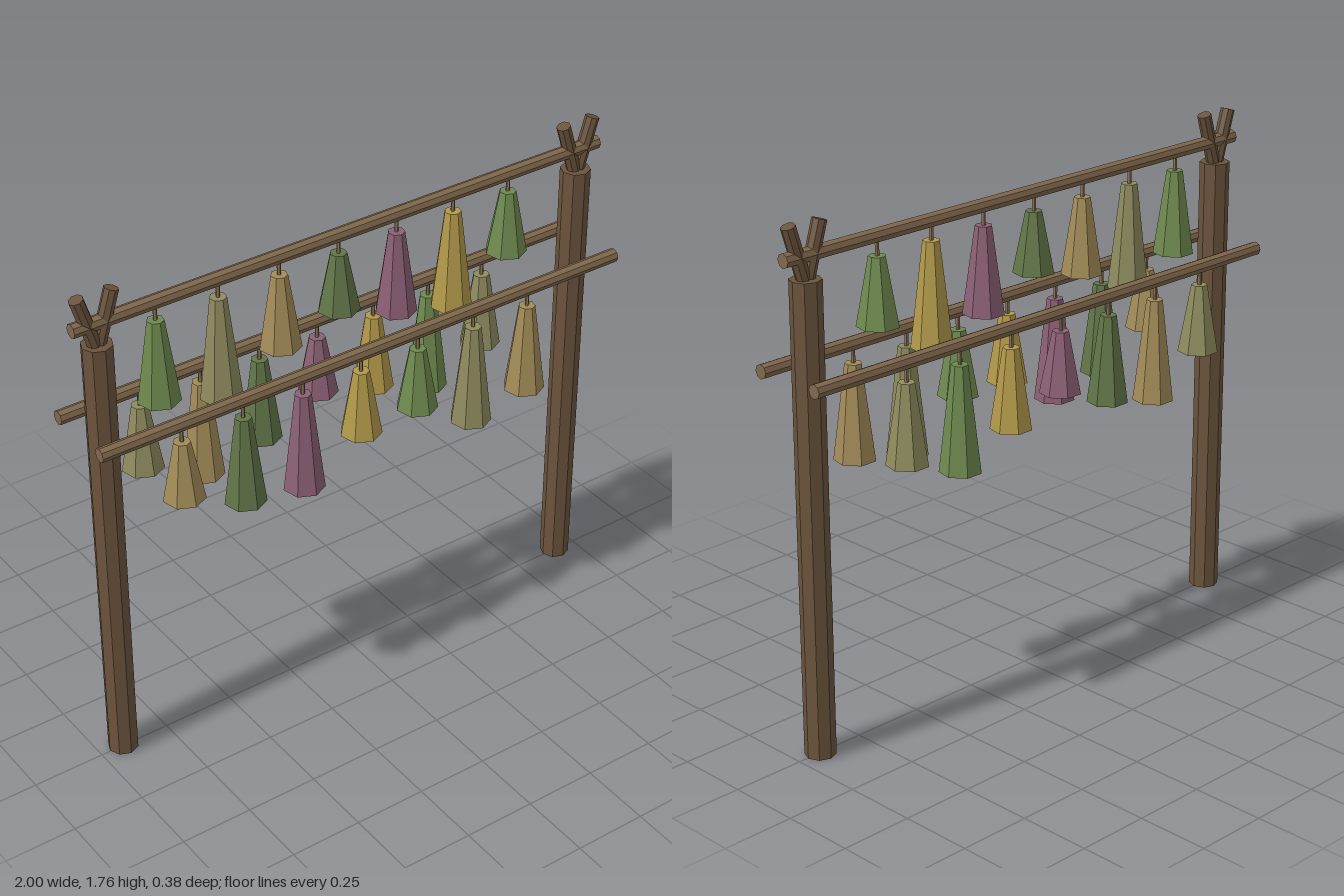
import * as THREE from 'three';

const mat = (color) => new THREE.MeshStandardMaterial({ color, flatShading: true });

export function createModel() {
  const model = new THREE.Group();
  const postMat = mat(0x6b543d);
  const railMat = mat(0x80684c);
  const cordMat = mat(0x8a7355);
  // green, olive, tan, dark green, mauve, yellow
  const bundleMats = [0x6f8a4f, 0x8f8c5f, 0xa38c58, 0x627648, 0x8c6076, 0xb39a4a].map(mat);
  const zOff = -0.0035;

  const add = (parent, name, geometry, material, x, y, z) => {
    const mesh = new THREE.Mesh(geometry, material);
    mesh.name = name;
    mesh.position.set(x, y, z);
    parent.add(mesh);
    return mesh;
  };

  // Posts, each topped with a forked pair of short sticks
  const postGeo = new THREE.CylinderGeometry(0.051, 0.051, 1.577, 8);
  const forkGeo = new THREE.CylinderGeometry(0.024, 0.024, 0.18, 8);
  for (const side of [-1, 1]) {
    const post = new THREE.Group();
    post.name = side > 0 ? 'leftPost' : 'rightPost';
    post.position.set(side * 0.916, 0, zOff);
    add(post, 'postShaft', postGeo, postMat, 0, 1.577 / 2, 0);
    for (const lean of [-1, 1]) {
      const stick = add(post, 'forkStick', forkGeo, postMat, lean * 0.034, 1.664, 0);
      stick.rotation.z = -lean * 0.3;
    }
    model.add(post);
  }

  // Rails with a row of hanging bundles: lengths run from -x to +x
  const rows = [
    { name: 'topRow', y: 1.65, z: 0, shift: 0, lengths: [0.287, 0.36, 0.261, 0.205, 0.291, 0.35, 0.224] },
    { name: 'frontRow', y: 1.275, z: 0.122, shift: 2, lengths: [0.209, 0.316, 0.355, 0.235, 0.225, 0.364, 0.321] },
    { name: 'backRow', y: 1.275, z: -0.122, shift: 1, lengths: [0.236, 0.353, 0.3, 0.21, 0.273, 0.357, 0.27] },
  ];
  const railGeo = new THREE.CylinderGeometry(0.024, 0.024, 2, 8).rotateZ(Math.PI / 2);
  const cordGeo = new THREE.CylinderGeometry(0.007, 0.007, 0.06, 5);

  for (const { name, y, z, shift, lengths } of rows) {
    const row = new THREE.Group();
    row.name = name;
    row.position.set(0, y, z + zOff);
    add(row, 'rail', railGeo, railMat, 0, 0, 0);
    lengths.forEach((length, i) => {
      const x = -0.712 + 0.224 * i;
      add(row, 'cord', cordGeo, cordMat, x, -0.04, 0);
      const bundleGeo = new THREE.CylinderGeometry(0.028, 0.07, length, 7);
      add(row, 'bundle', bundleGeo, bundleMats[(i + shift) % 6], x, -0.064 - length / 2, 0);
    });
    model.add(row);
  }
  return model;
}
